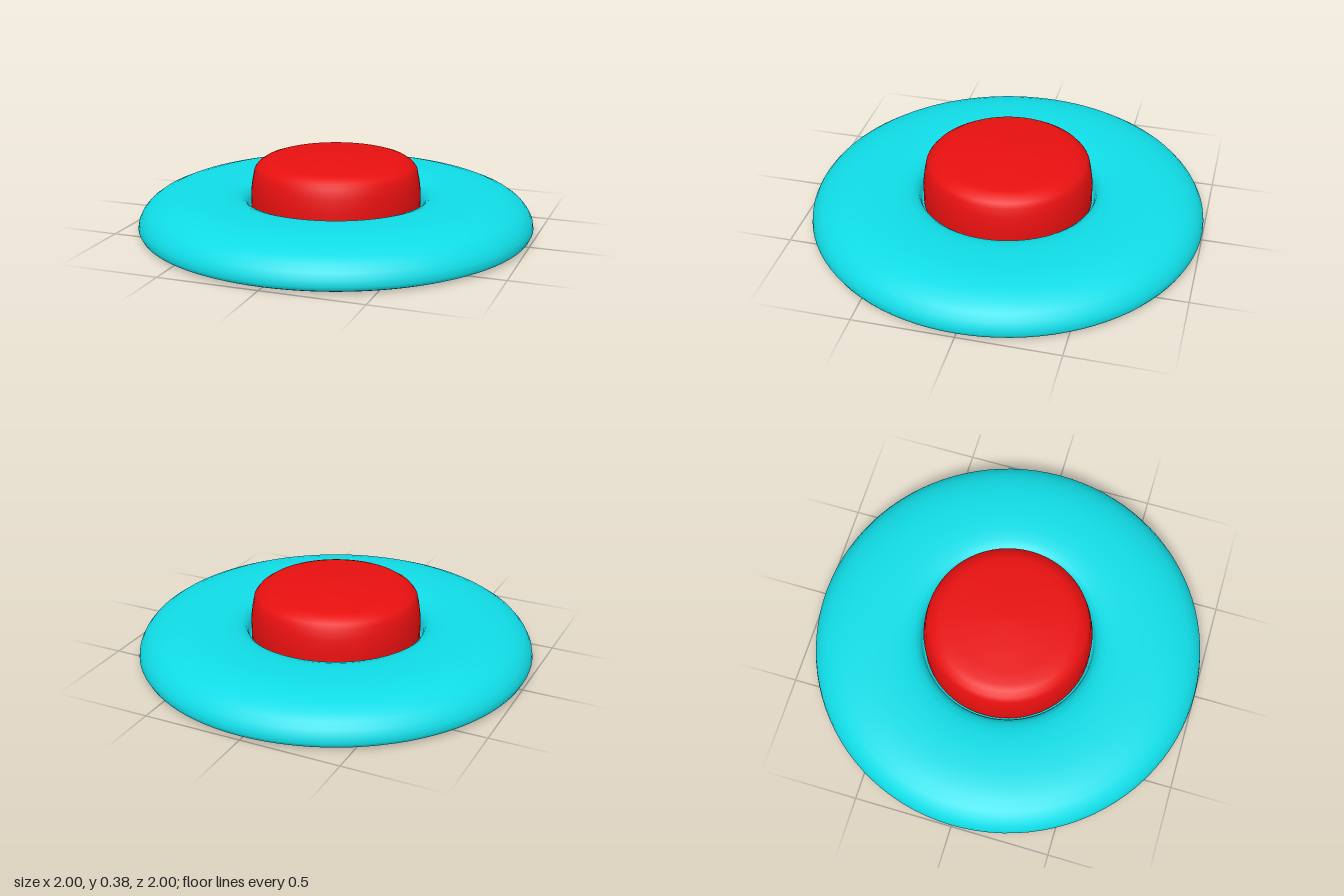
import * as THREE from 'three';

// Smooth solid of revolution from [radius, height] pairs, listed bottom to top
function turned(name, color, profile, segments) {
  const points = profile.map(([r, y]) => new THREE.Vector2(r, y));
  const mesh = new THREE.Mesh(
    new THREE.LatheGeometry(points, segments),
    new THREE.MeshStandardMaterial({ color })
  );
  mesh.name = name;
  return mesh;
}

export function createModel() {
  const group = new THREE.Group();
  group.name = 'pushButton';

  // Rounded base: flat underside, soft outer rim, dished socket round the button
  group.add(turned('base', 0x10dce6, [
    [0, 0], [0.5, 0], [0.94, 0.002], [0.97, 0.006], [0.99, 0.015], [1, 0.035],
    [0.995, 0.065], [0.98, 0.095], [0.955, 0.125], [0.92, 0.15], [0.87, 0.172],
    [0.81, 0.188], [0.74, 0.197], [0.66, 0.2], [0.58, 0.198], [0.52, 0.19],
    [0.48, 0.176], [0.455, 0.155], [0.445, 0.13], [0.44, 0.1], [0.43, 0.09], [0, 0.09],
  ], 96));

  // Button: slightly tapered sides, bevelled shoulder, shallow crown
  group.add(turned('button', 0xe81010, [
    [0, 0.092], [0.42, 0.092], [0.43, 0.1], [0.43, 0.2], [0.422, 0.26], [0.412, 0.31],
    [0.395, 0.332], [0.365, 0.352], [0.335, 0.362], [0.28, 0.367], [0.18, 0.375],
    [0.08, 0.382], [0, 0.384],
  ], 64));

  return group;
}
